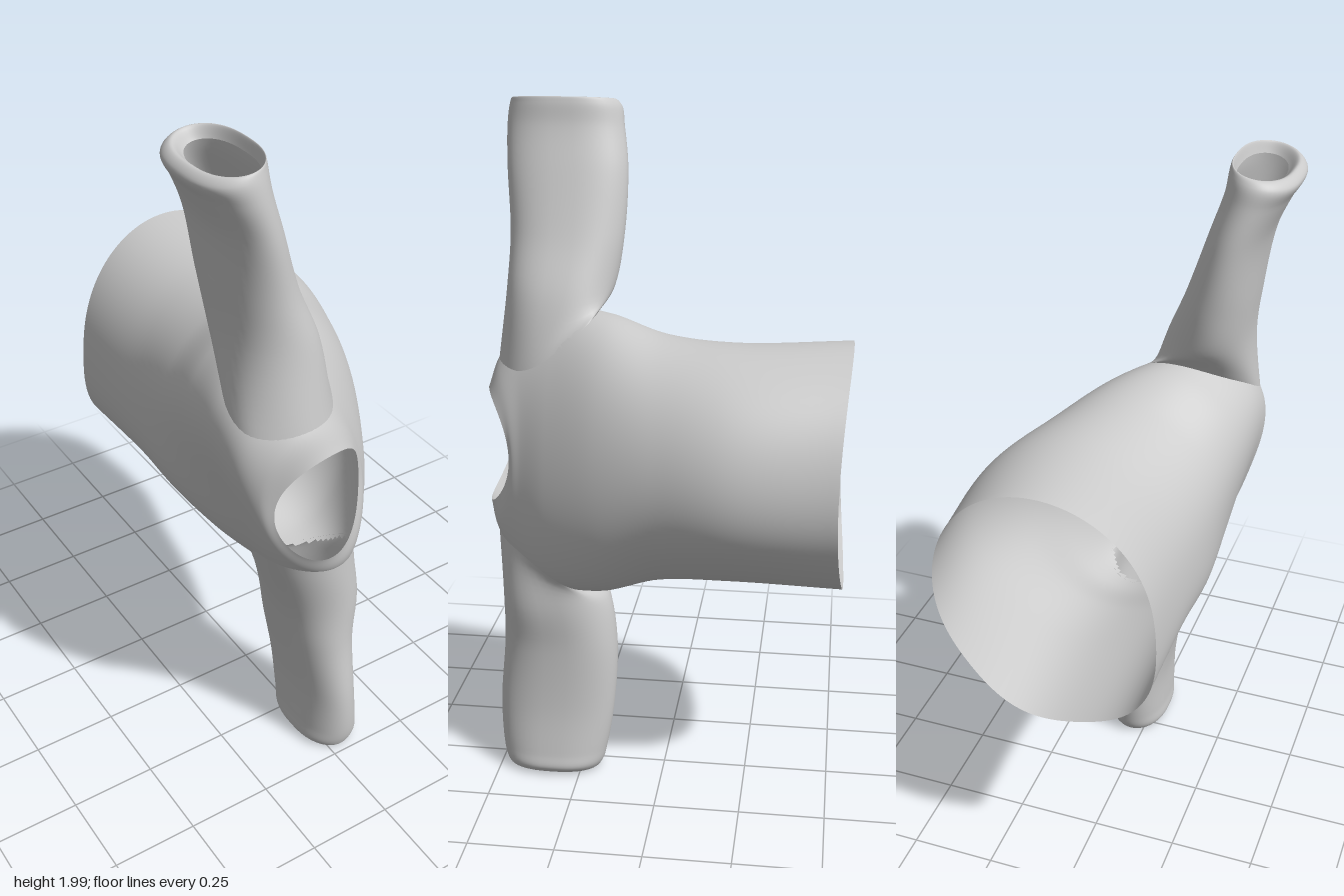
import * as THREE from 'three';

const material = new THREE.MeshStandardMaterial({ color: 0xcccccc, side: THREE.DoubleSide });
const V = (x, y, z) => new THREE.Vector3(x, y, z);

// Sleeve cross-sections, back to front: z, centre x, centre y, radius x, radius y, lean,
// bow in z at top and bottom, sideways skew in z, fullness of the lower and upper right side
const sections = [
  [-0.5, 0.05, 1.025, 0.31, 0.355, 0.0, -0.025, 0, 0.13, 0],
  [-0.2, 0.062, 1.025, 0.322, 0.34, 0.0, 0, 0, 0.13, 0],
  [0.0, 0.03, 1.02, 0.305, 0.352, 0.05, 0, 0, 0.12, 0.04],
  [0.17, -0.003, 1.015, 0.272, 0.395, 0.15, 0, 0, 0.1, 0.09],
  [0.32, -0.045, 1.015, 0.222, 0.39, 0.24, 0, 0, 0.1, 0.11],
  [0.41, -0.078, 1.015, 0.192, 0.33, 0.24, 0.03, 0.01, 0.07, 0.08],
  [0.45, -0.08, 1.015, 0.172, 0.245, 0.2, 0.055, 0.02, 0.03, 0.03],
  [0.465, -0.075, 1.01, 0.152, 0.17, 0.08, 0.065, 0.025, 0, 0],
];

// Bump of height 1 around one angle, in degrees
const bump = (a, deg) => Math.max(0, Math.cos(a - THREE.MathUtils.degToRad(deg))) ** 10;

// Curve running along the sleeve at one angle around it
function sleeveLine(a) {
  return new THREE.CatmullRomCurve3(sections.map(([z, cx, cy, rx, ry, lean, bow, skew, low, high]) => {
    const swell = 1 + low * (bump(a, 217) - 0.35 * bump(a, 315)) + high * bump(a, 152);
    const c = Math.cos(a) * swell, s = Math.sin(a) * swell;
    return V(cx + rx * c - lean * ry * s, cy + ry * s, z + bow * s * s - skew * c);
  }));
}

// Skin stretched over lengthwise curves set in a closed ring
function loft(name, lineAt, around, along, skip = () => false) {
  const positions = [], index = [];
  for (let i = 0; i < around; i++) {
    const line = lineAt((i / around) * Math.PI * 2);
    for (let j = 0; j <= along; j++) positions.push(...line.getPoint(j / along).toArray());
  }
  const w = along + 1;
  for (let i = 0; i < around; i++) {
    for (let j = 0; j < along; j++) {
      if (skip(((i + 0.5) / around) * Math.PI * 2, (j + 0.5) / along)) continue;
      const a = i * w + j, b = ((i + 1) % around) * w + j;
      index.push(a, b, b + 1, a, b + 1, a + 1);
    }
  }
  const geometry = new THREE.BufferGeometry();
  geometry.setAttribute('position', new THREE.Float32BufferAttribute(positions, 3));
  geometry.setIndex(index);
  geometry.computeVertexNormals();
  const mesh = new THREE.Mesh(geometry, material);
  mesh.name = name;
  return mesh;
}

// Oval patches of the sleeve from which the branches grow
const root = { t: 4.6 / 7, dt: 1.4 / 7, da: 0.8, upper: Math.PI / 2, lower: Math.PI * 1.5 - 0.22 };
const inRoot = (a, t) => [root.upper, root.lower].some((mid) =>
  Math.hypot((a - mid) / root.da, (t - root.t) / root.dt) < 0.94);

// Flattened branch tube; rings are y, x min, x max, z min, z max, slant of the ring
function branch(name, mid, rings) {
  const up = Math.sign(Math.sin(mid));
  return loft(name, (p) => {
    const c = Math.cos(p), s = Math.sin(p);
    const start = sleeveLine(mid - up * root.da * c).getPoint(root.t + root.dt * s);
    const points = rings.map(([y, x0, x1, z0, z1, slant]) =>
      V((x0 + x1) / 2 + ((x1 - x0) / 2) * c,
        y + slant * c,
        (z0 + z1) / 2 + ((z1 - z0) / 2) * Math.sign(s) * Math.abs(s) ** 0.8));
    return new THREE.CatmullRomCurve3([start, ...points]);
  }, 48, 48);
}

export function createModel() {
  const group = new THREE.Group();
  group.name = 'branchedSleeve';

  // Wide sleeve, open at the back and at the smaller front hole
  group.add(loft('sleeve', sleeveLine, 120, 90, inRoot));

  // Upper branch, leaning to the right, with a hem turned inward
  group.add(branch('upperBranch', root.upper, [
    [1.47, -0.278, -0.03, 0.165, 0.478, -0.01],
    [1.62, -0.292, -0.095, 0.14, 0.472, 0],
    [1.8, -0.32, -0.155, 0.135, 0.485, 0],
    [1.91, -0.362, -0.192, 0.15, 0.49, 0.01],
    [1.965, -0.388, -0.2, 0.16, 0.485, 0.015],
    [1.985, -0.365, -0.205, 0.18, 0.475, 0.012],
    [1.955, -0.335, -0.215, 0.2, 0.46, 0.01],
  ]));

  // Lower branch, nearly upright, with the same hem
  group.add(branch('lowerBranch', root.lower, [
    [0.57, -0.122, 0.128, 0.165, 0.485, 0],
    [0.42, -0.088, 0.115, 0.142, 0.485, 0],
    [0.22, -0.055, 0.115, 0.15, 0.5, 0],
    [0.08, -0.052, 0.13, 0.172, 0.495, 0],
    [0.03, -0.052, 0.135, 0.185, 0.485, 0.005],
    [0.01, -0.035, 0.115, 0.2, 0.475, 0.003],
    [0.04, -0.02, 0.1, 0.22, 0.46, 0.003],
  ]));

  return group;
}
